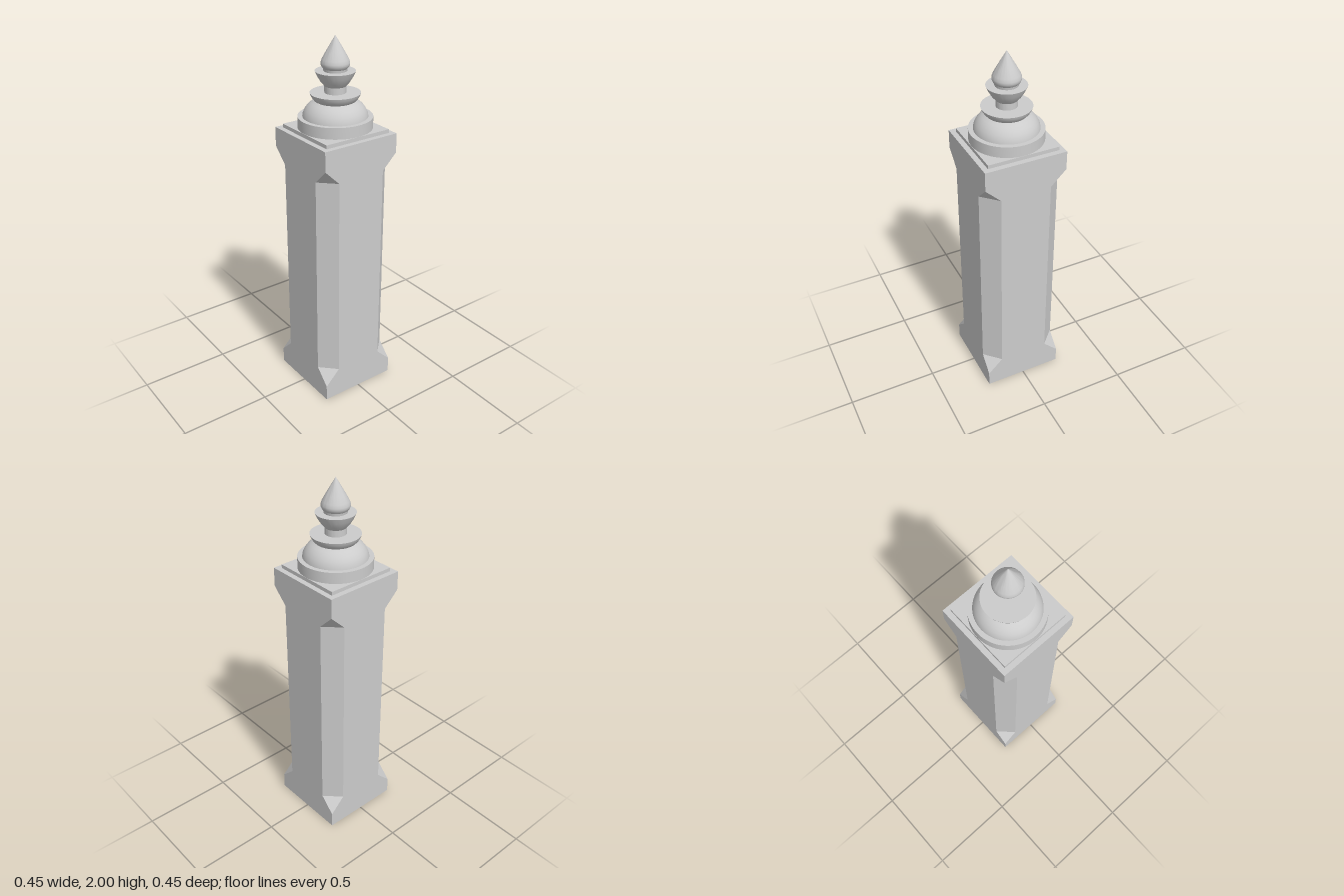
import * as THREE from 'three';
import { toCreasedNormals } from 'three/addons/utils/BufferGeometryUtils.js';

const material = new THREE.MeshStandardMaterial({ color: 0xcccccc });

function addPart(group, name, geometry) {
  const mesh = new THREE.Mesh(geometry, material);
  mesh.name = name;
  group.add(mesh);
  return mesh;
}

// Turned part from [radius, height] points, listed bottom to top
function turned(profile) {
  const points = profile.map(([r, y]) => new THREE.Vector2(r, y));
  return toCreasedNormals(new THREE.LatheGeometry(points, 64), 0.45);
}

// Square post whose corners are chamfered by c at each [height, c] level
function chamferedPost(half, levels) {
  const rings = levels.map(([y, c]) => {
    const k = half - c;
    return [[half, -k], [half, k], [k, half], [-k, half],
      [-half, k], [-half, -k], [-k, -half], [k, -half]]
      .map(([x, z]) => new THREE.Vector3(x, y, z));
  });
  const positions = [];
  const triangle = (a, b, c) => {
    const area = b.clone().sub(a).cross(c.clone().sub(a)).length();
    if (area > 1e-8) for (const p of [a, b, c]) positions.push(p.x, p.y, p.z);
  };
  for (let i = 0; i < rings.length - 1; i++) {
    for (let j = 0; j < 8; j++) {
      const n = (j + 1) % 8;
      const [a, b, c, d] = [rings[i][j], rings[i][n], rings[i + 1][n], rings[i + 1][j]];
      triangle(a, d, c);
      triangle(a, c, b);
    }
  }
  // End caps
  const bottom = rings[0];
  const top = rings[rings.length - 1];
  for (let j = 1; j < 7; j++) {
    triangle(bottom[0], bottom[j], bottom[j + 1]);
    triangle(top[0], top[j + 1], top[j]);
  }
  const geometry = new THREE.BufferGeometry();
  geometry.setAttribute('position', new THREE.Float32BufferAttribute(positions, 3));
  geometry.computeVertexNormals();
  return geometry;
}

export function createModel() {
  const group = new THREE.Group();
  group.name = 'newelPost';

  // Square shaft with stopped chamfers on its corners
  addPart(group, 'shaft', chamferedPost(0.225, [
    [0, 0], [0.09, 0], [0.175, 0.085], [1.32, 0.085], [1.403, 0], [1.508, 0],
  ]));

  // Thin square plate under the finial
  addPart(group, 'plinth', new THREE.BoxGeometry(0.392, 0.022, 0.392)).position.y = 1.517;

  // Round base and dome
  addPart(group, 'baseDisc', turned([[0, 1.526], [0.195, 1.526], [0.195, 1.588], [0, 1.588]]));
  addPart(group, 'dome', turned([
    [0.17, 1.587], [0.167, 1.604], [0.157, 1.625], [0.143, 1.644], [0.125, 1.659], [0.104, 1.669],
  ]));

  // Flared collar
  addPart(group, 'collar', turned([
    [0.1, 1.668], [0.108, 1.672], [0.119, 1.685], [0.127, 1.699], [0.131, 1.711], [0, 1.711],
  ]));

  // Neck opening into a cup
  addPart(group, 'cup', turned([
    [0.056, 1.71], [0.056, 1.746], [0.075, 1.768], [0.092, 1.796], [0.104, 1.823], [0, 1.823],
  ]));

  // Pointed bud
  addPart(group, 'bud', turned([
    [0.06, 1.822], [0.062, 1.836], [0.069, 1.844], [0.074, 1.855], [0.074, 1.866],
    [0.068, 1.882], [0.05, 1.915], [0.025, 1.958], [0, 2],
  ]));

  return group;
}
